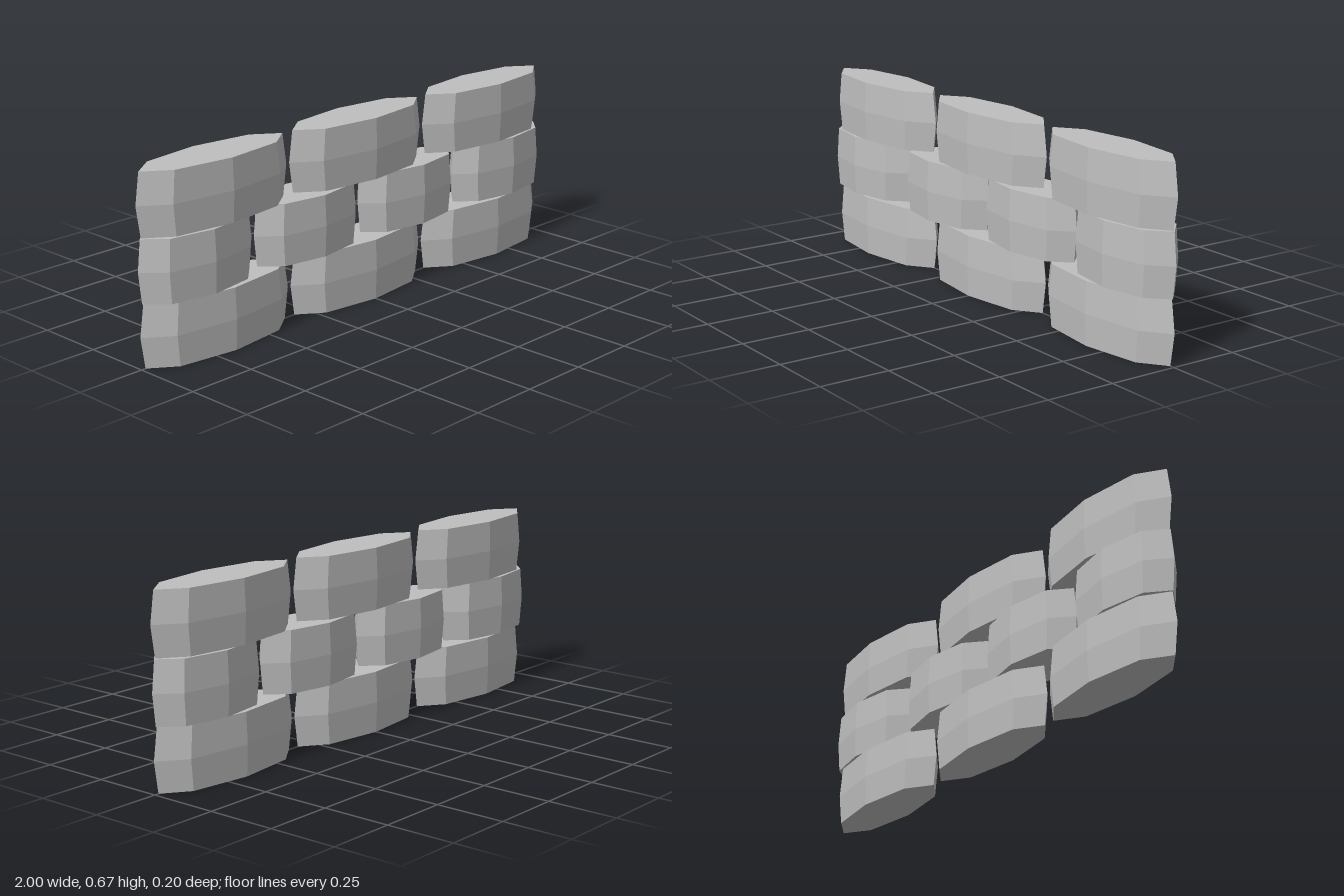
import * as THREE from 'three';

const ROW_PITCH = 0.2225;
const BRICK_HEIGHT = 0.221;
const HALF_DEPTH = 0.1;
const END_SCALE = 0.95; // top and bottom faces are slightly smaller than the waist

// Eight-sided stone, stretched along x, with a slightly bulging middle ring
function brickGeometry(halfLength) {
  const geo = new THREE.CylinderGeometry(END_SCALE, END_SCALE, BRICK_HEIGHT, 8, 2);
  const pos = geo.attributes.position;
  for (let i = 0; i < pos.count; i++) {
    const bulge = Math.abs(pos.getY(i)) < 0.001 ? 1 / END_SCALE : 1;
    pos.setX(i, pos.getX(i) * bulge * halfLength);
    pos.setZ(i, pos.getZ(i) * bulge * HALF_DEPTH);
  }
  geo.computeVertexNormals();
  return geo;
}

export function createModel() {
  const model = new THREE.Group();
  model.name = 'stoneWall';
  const stone = new THREE.MeshStandardMaterial({ color: 0xbfbfbf, flatShading: true });
  stone.name = 'grey stone';

  // Staggered courses: long, short, long bricks
  const longCourse = { count: 3, half: 0.329, pitch: 0.671 };
  const shortCourse = { count: 4, half: 0.246, pitch: 0.5027 };
  const names = ['bottomCourse', 'middleCourse', 'topCourse'];
  [longCourse, shortCourse, longCourse].forEach(({ count, half, pitch }, row) => {
    const course = new THREE.Group();
    course.name = names[row];
    course.position.y = row * ROW_PITCH + BRICK_HEIGHT / 2;
    const geo = brickGeometry(half);
    for (let i = 0; i < count; i++) {
      const brick = new THREE.Mesh(geo, stone);
      brick.name = 'brick';
      brick.position.x = (i - (count - 1) / 2) * pitch;
      course.add(brick);
    }
    model.add(course);
  });
  return model;
}
